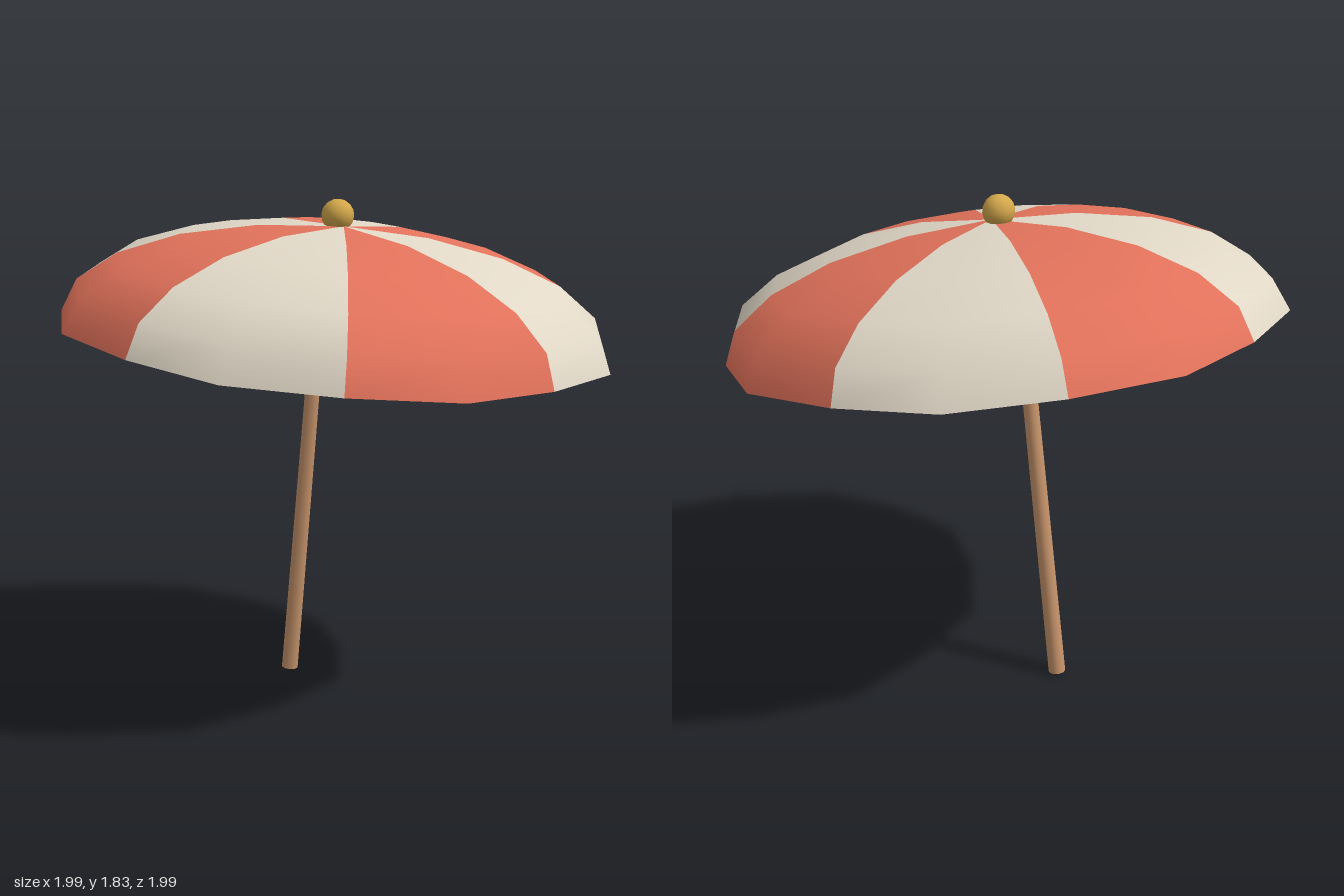
import * as THREE from 'three';

function material(name, color) {
  const m = new THREE.MeshStandardMaterial({ color });
  m.name = name;
  return m;
}

const PANELS = 8, RINGS = 5, COLS = 2;
const HEIGHT = 0.385, BULGE = 0.03;

// One curved wedge of the canopy, puffed outwards between its two seams
function panelGeometry(index) {
  const positions = [], faces = [];
  for (let i = 0; i <= RINGS; i++) {
    const theta = (i / RINGS) * Math.PI / 2;
    for (let j = 0; j <= COLS; j++) {
      const angle = (index + j / COLS) * 2 * Math.PI / PANELS;
      const puff = 1 + BULGE * Math.sin(Math.PI * j / COLS) * (i / RINGS);
      const r = Math.sin(theta) * puff;
      positions.push(r * Math.cos(angle), HEIGHT * Math.cos(theta), r * Math.sin(angle));
    }
  }
  for (let i = 0; i < RINGS; i++) {
    for (let j = 0; j < COLS; j++) {
      const a = i * (COLS + 1) + j, b = a + 1, c = a + COLS + 1, d = c + 1;
      if (i > 0) faces.push(a, b, d);
      faces.push(a, d, c);
    }
  }
  const geometry = new THREE.BufferGeometry();
  geometry.setAttribute('position', new THREE.Float32BufferAttribute(positions, 3));
  geometry.setIndex(faces);
  geometry.computeVertexNormals();
  return geometry;
}

export function createModel() {
  const model = new THREE.Group();
  model.name = 'parasol';
  const red = material('coral red', 0xe2725b);
  const cream = material('cream', 0xe0d7c6);
  const wood = material('wood', 0xc8956c);
  const gold = material('gold', 0xd4a84b);
  red.side = cream.side = THREE.DoubleSide;

  // Pole and canopy lean the same way
  const lean = new THREE.Euler(0.1, 0, -0.08);

  // Slightly tapered pole that ends just below the canopy
  const pole = new THREE.Mesh(new THREE.CylinderGeometry(0.027, 0.032, 1.58, 10), wood);
  pole.name = 'pole';
  pole.position.set(-0.108, 0.786, -0.13);
  pole.rotation.copy(lean);
  model.add(pole);

  // Canopy of alternating panels
  const canopy = new THREE.Group();
  canopy.name = 'canopy';
  canopy.position.set(0, 1.35, 0);
  canopy.rotation.copy(lean);
  for (let k = 0; k < PANELS; k++) {
    const panel = new THREE.Mesh(panelGeometry(k), k % 2 ? red : cream);
    panel.name = `canopyPanel${k + 1}`;
    canopy.add(panel);
  }
  model.add(canopy);

  // Round finial on top
  const finial = new THREE.Mesh(new THREE.SphereGeometry(0.06, 10, 8), gold);
  finial.name = 'finial';
  finial.position.set(0.01, 1.77, 0.01);
  finial.rotation.copy(lean);
  model.add(finial);

  return model;
}
